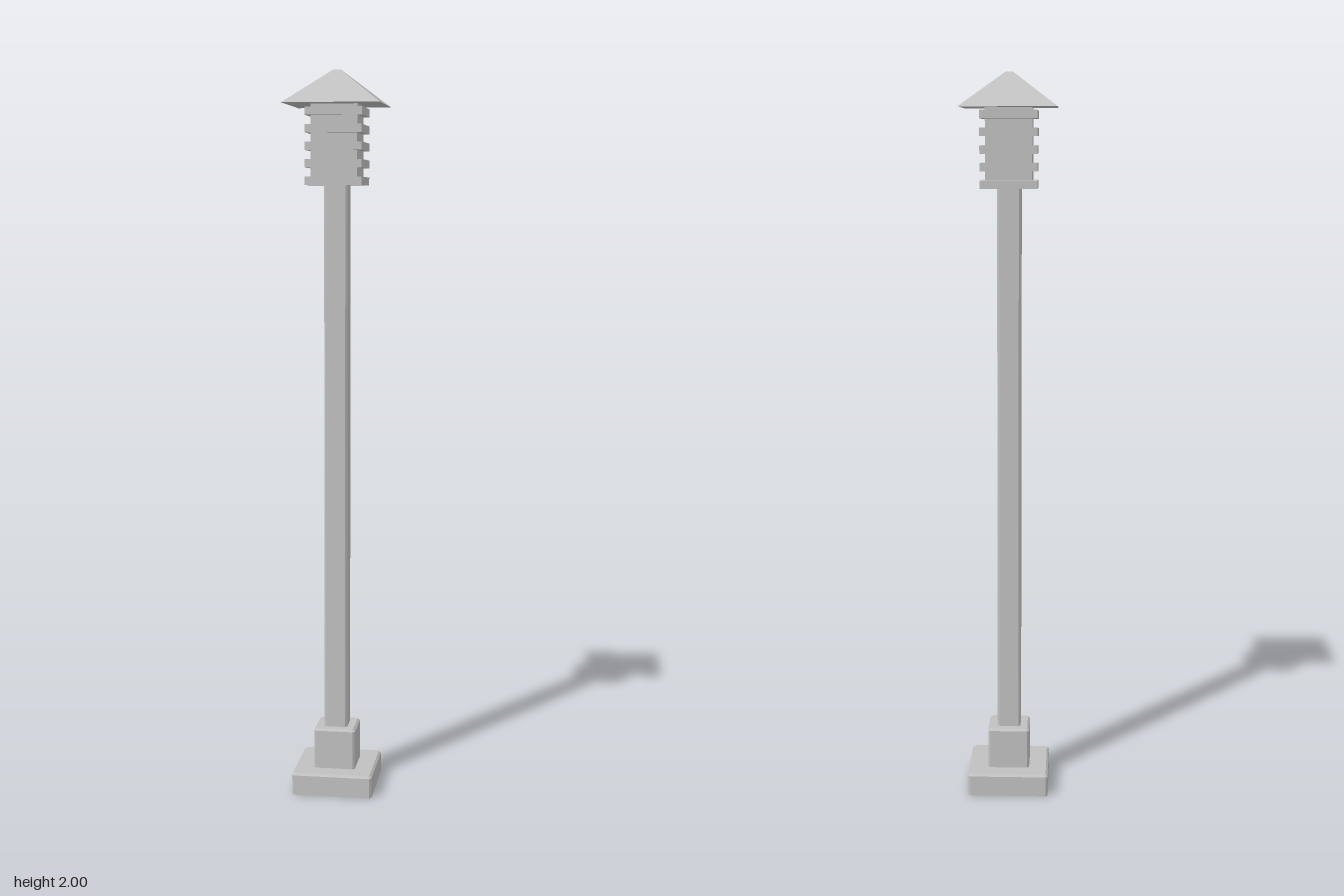
import * as THREE from 'three';

const DEPTH = 1.05; // the lamp is slightly deeper than it is wide

// Octagonal (corner-cut square) outline at height y, counter-clockwise from above
function outline(half, cut, y) {
  const a = half, b = half - cut;
  return [[b, a], [a, b], [a, -b], [b, -a], [-b, -a], [-a, -b], [-a, b], [-b, a]]
    .map(([x, z]) => [x, y, z * DEPTH]);
}

// Square block with chamfered upright edges and a chamfered top
function chamferedBlock(half, y0, y1, cut, topCut) {
  const rings = [outline(half, cut, y0), outline(half, cut, y1 - topCut)];
  if (topCut > 0) rings.push(outline(half - topCut, cut, y1));
  const pos = [];
  for (let r = 0; r + 1 < rings.length; r++) {
    for (let i = 0; i < 8; i++) {
      const j = (i + 1) % 8;
      const a = rings[r][i], b = rings[r][j], c = rings[r + 1][j], d = rings[r + 1][i];
      pos.push(...a, ...b, ...c, ...a, ...c, ...d);
    }
  }
  const top = rings[rings.length - 1], bottom = rings[0];
  for (let i = 1; i < 7; i++) {
    pos.push(...top[0], ...top[i], ...top[i + 1]);
    pos.push(...bottom[0], ...bottom[i + 1], ...bottom[i]);
  }
  const g = new THREE.BufferGeometry();
  g.setAttribute('position', new THREE.Float32BufferAttribute(pos, 3));
  g.computeVertexNormals();
  return g;
}

export function createModel() {
  const group = new THREE.Group();
  const metal = new THREE.MeshStandardMaterial({ color: 0xc0c0c0 });
  metal.name = 'grey metal';
  metal.flatShading = true;

  function add(name, geometry) {
    const mesh = new THREE.Mesh(geometry, metal);
    mesh.name = name;
    group.add(mesh);
    return mesh;
  }
  function box(name, width, y0, y1) {
    add(name, new THREE.BoxGeometry(width, y1 - y0, width * DEPTH)).position.y = (y0 + y1) / 2;
  }

  // Stepped foot and post
  add('basePlate', chamferedBlock(0.112, 0, 0.062, 0.006, 0.006));
  add('pedestal', chamferedBlock(0.058, 0.06, 0.176, 0.006, 0.006));
  add('post', chamferedBlock(0.0325, 0.17, 1.695, 0.006, 0));

  // Lamp head: core with five louvre plates
  box('lampCore', 0.126, 1.695, 1.907);
  for (let i = 0; i < 5; i++) {
    const y = 1.692 + i * 0.0463;
    box('louvre' + (i + 1), 0.154, y, y + 0.022);
  }

  // Pyramid roof with a small flat tip
  const roof = new THREE.CylinderGeometry(0.01 * Math.SQRT2, 0.131 * Math.SQRT2, 0.093, 4);
  roof.rotateY(Math.PI / 4);
  roof.scale(1, 1, DEPTH);
  add('roof', roof).position.y = 1.9535;

  return group;
}
